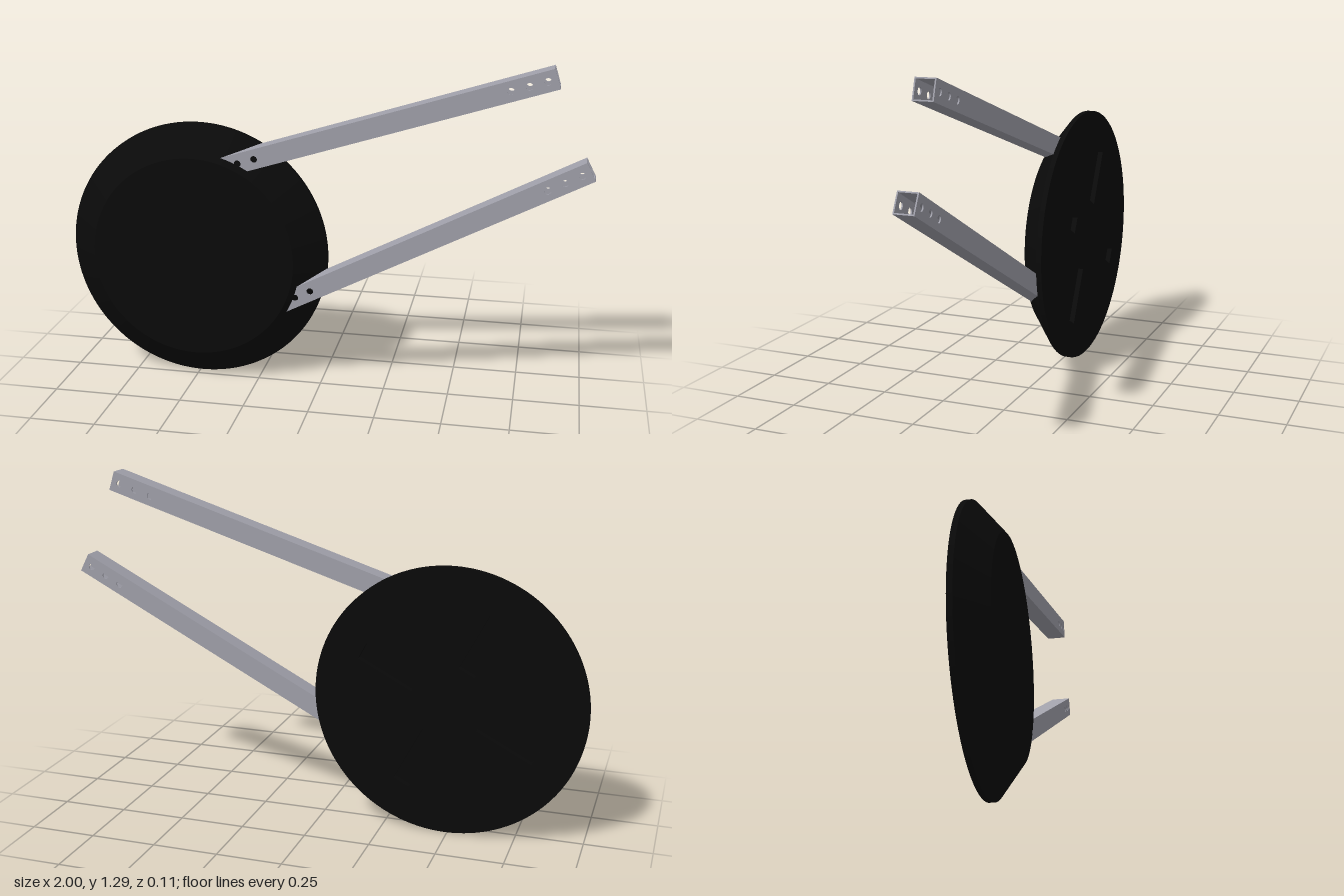
import * as THREE from 'three';

const discMaterial = new THREE.MeshStandardMaterial({ color: 0x0a0a0a });
discMaterial.name = 'black';
const armMaterial = new THREE.MeshStandardMaterial({ color: 0xa0a0aa });
armMaterial.name = 'grey metal';

const RADIUS = 0.51;
const FRONT_RADIUS = 0.395;
const HALF_DEPTH = 0.057;
const RIM = 0.02;
const deg = THREE.MathUtils.degToRad;

function addMesh(parent, name, geometry, material) {
  const mesh = new THREE.Mesh(geometry, material);
  mesh.name = name;
  parent.add(mesh);
  return mesh;
}

function extrude(shape, depth, curveSegments) {
  return new THREE.ExtrudeGeometry(shape, { depth, bevelEnabled: false, curveSegments });
}

// Dish: slotted back plate with a tapered front
function createDish() {
  const dish = new THREE.Group();
  dish.name = 'dish';

  const plate = new THREE.Shape().absarc(0, 0, RADIUS, 0, Math.PI * 2);
  for (let i = 0; i < 4; i++) {
    const a = deg(27.5 + 90 * i);
    const corners = [[0.14, -0.033], [0.14, 0.033], [0.37, 0.033], [0.37, -0.033]].map(
      ([u, v]) => new THREE.Vector2(u, v).rotateAround(new THREE.Vector2(), a));
    plate.holes.push(new THREE.Path(corners));
  }
  addMesh(dish, 'backPlate', extrude(plate, RIM, 64), discMaterial).position.z = -HALF_DEPTH;

  const depth = 2 * HALF_DEPTH - RIM;
  const cone = new THREE.CylinderGeometry(FRONT_RADIUS, RADIUS, depth, 128);
  cone.rotateX(Math.PI / 2);
  addMesh(dish, 'taperedFront', cone, discMaterial).position.z = RIM / 2;
  return dish;
}

// Hollow square tube with three bolt holes at each end, starting inside the dish
function createArm(name, angle, offset) {
  const arm = new THREE.Group();
  arm.name = name;
  const start = 0.215, end = 1.5, size = 0.075, wall = 0.005, h = size / 2;

  const face = new THREE.Shape([
    new THREE.Vector2(start, -h), new THREE.Vector2(end, -h),
    new THREE.Vector2(end, h), new THREE.Vector2(start, h),
  ]);
  for (const u of [0.288, 0.354, end - 0.167, end - 0.101, end - 0.035]) {
    face.holes.push(new THREE.Path().absarc(u, 0, 0.013, 0, Math.PI * 2, true));
  }
  const faceGeometry = extrude(face, wall, 12);
  addMesh(arm, 'frontWall', faceGeometry, armMaterial).position.z = h - wall;
  addMesh(arm, 'backWall', faceGeometry, armMaterial).position.z = -h;

  const sideGeometry = new THREE.BoxGeometry(end - start, wall, size - 2 * wall);
  for (const s of [1, -1]) {
    addMesh(arm, s > 0 ? 'topWall' : 'bottomWall', sideGeometry, armMaterial)
      .position.set((start + end) / 2, s * (h - wall / 2), 0);
  }

  arm.rotation.z = angle;
  arm.position.set(-Math.sin(angle) * offset, Math.cos(angle) * offset, 0.0025);
  return arm;
}

export function createModel() {
  const model = new THREE.Group();
  model.name = 'dishWithArms';
  model.add(
    createDish(),
    createArm('upperArm', deg(17.6), 0.308),
    createArm('lowerArm', deg(27.5), -0.308),
  );
  // Place the dish centre
  for (const part of model.children) {
    part.position.x -= 0.49;
    part.position.y += RADIUS;
  }
  return model;
}
